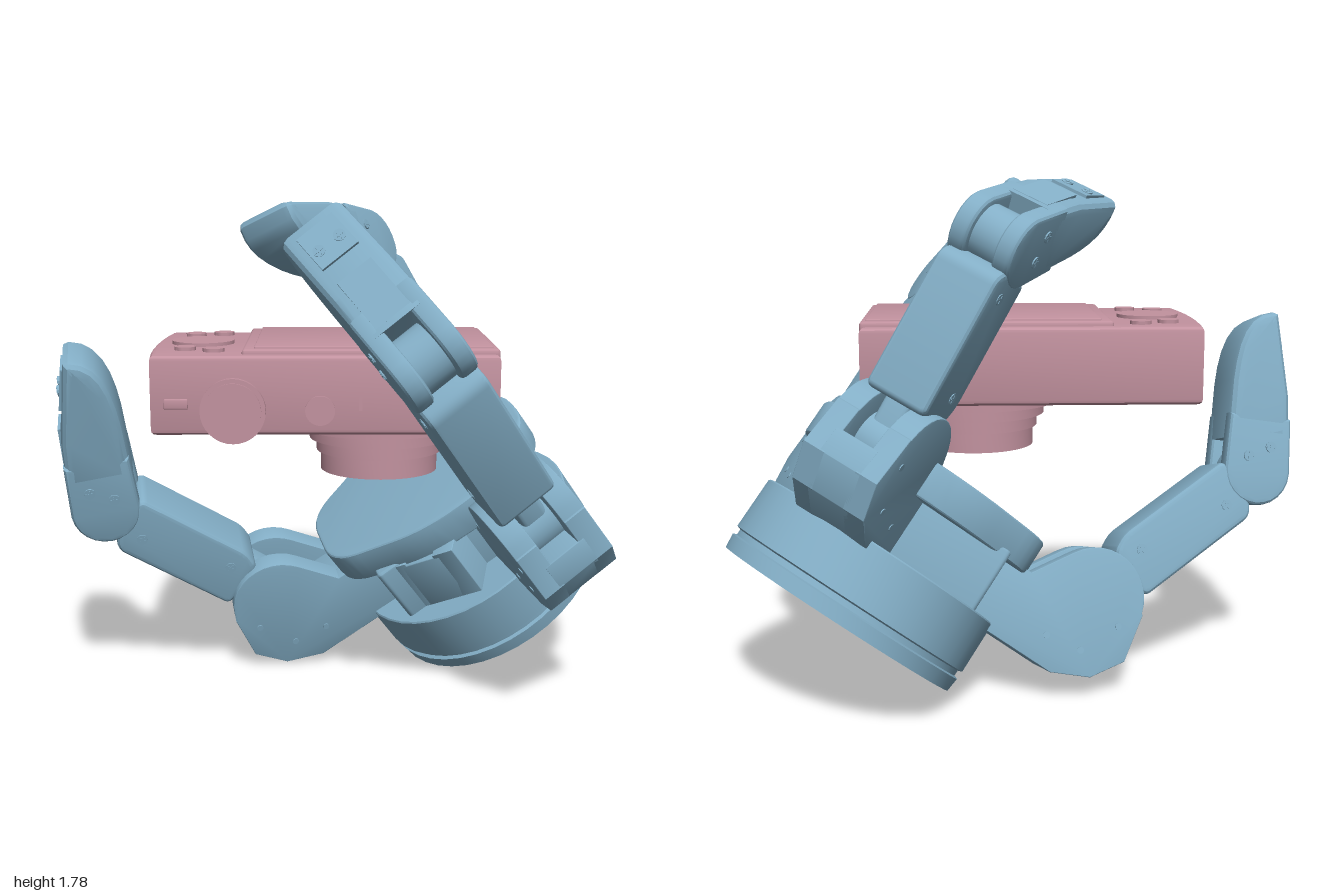
import * as THREE from 'three';
import { toCreasedNormals } from 'three/addons/utils/BufferGeometryUtils.js';
import { RoundedBoxGeometry } from 'three/addons/geometries/RoundedBoxGeometry.js';

const blue = new THREE.MeshStandardMaterial({ color: 0x83aec6 });
const pink = new THREE.MeshStandardMaterial({ color: 0xc2929f });

function add(parent, name, geometry, material, x = 0, y = 0, z = 0) {
  const mesh = new THREE.Mesh(toCreasedNormals(geometry, 0.5), material);
  mesh.name = name;
  mesh.position.set(x, y, z);
  parent.add(mesh);
  return mesh;
}

function group(parent, name) {
  const g = new THREE.Group();
  g.name = name;
  parent.add(g);
  return g;
}

// Outline with each corner rounded by up to r
function rounded(points, r) {
  const p = points.map(([x, y]) => new THREE.Vector2(x, y));
  const s = new THREE.Shape();
  p.forEach((c, i) => {
    const a = p[(i + p.length - 1) % p.length], b = p[(i + 1) % p.length];
    const toward = (q) => c.clone().lerp(q, Math.min(0.48, r / c.distanceTo(q)));
    const u = toward(a), v = toward(b);
    if (i) s.lineTo(u.x, u.y); else s.moveTo(u.x, u.y);
    s.quadraticCurveTo(c.x, c.y, v.x, v.y);
  });
  s.closePath();
  return s;
}

// Bevelled slab of a shape, centred on z
function slab(shape, width, bevel) {
  const depth = width - 2 * bevel;
  const g = new THREE.ExtrudeGeometry(shape, {
    depth, curveSegments: 6, bevelEnabled: true, bevelSegments: 3,
    bevelThickness: bevel, bevelSize: bevel, bevelOffset: -bevel,
  });
  return g.translate(0, 0, -depth / 2);
}

// Small cross-slotted screw head facing +z of its group
function screw(parent, x, y, z, axis) {
  const g = group(parent, 'screw');
  const head = add(g, 'screwHead', new THREE.CylinderGeometry(0.02, 0.02, 0.012, 12), blue);
  head.rotation.x = Math.PI / 2;
  for (const turn of [0, Math.PI / 2]) {
    add(g, 'screwCross', new THREE.BoxGeometry(0.028, 0.006, 0.016), blue).rotation.z = turn;
  }
  g.position.set(x, y, z);
  if (axis === 'y') g.rotation.x = Math.PI / 2;
}

// Pin along z through a joint
function axle(parent, name, radius, width, x, y) {
  const geometry = new THREE.CylinderGeometry(radius, radius, width, 24);
  add(parent, name, geometry, blue, x, y, 0).rotation.x = Math.PI / 2;
}

// Group whose x axis runs from one joint to the next; -y is the outer side
function link(parent, name, from, to) {
  const g = group(parent, name);
  g.position.set(from[0], from[1], 0);
  g.rotation.z = Math.atan2(to[1] - from[1], to[0] - from[0]);
  return [g, Math.hypot(to[0] - from[0], to[1] - from[1])];
}

const knuckle = [0.7, 0.54];

function finger(parent, name, pivot, dir, joint, tip) {
  const f = group(parent, name);
  f.position.set(pivot[0], 0, pivot[1]);
  f.rotation.y = Math.atan2(-dir[1], dir[0]);

  // Housing: solid centre arm between two tall cheeks that leave a slot above
  const floor = [[-0.12, 0.24], [0.7, 0.24], [0.83, 0.3], [0.905, 0.41]];
  const arm = rounded([...floor, [0.89, 0.5], [-0.12, 0.48]], 0.005);
  add(f, 'housingArm', slab(arm, 0.16, 0.002), blue);
  for (const side of [-1, 1]) {
    const cheek = new THREE.Shape();
    cheek.moveTo(...floor[0]);
    [...floor.slice(1), [0.875, 0.58]].forEach((q) => cheek.lineTo(...q));
    cheek.absarc(knuckle[0], knuckle[1], 0.175, 0.25, 2.6, false);
    [[0.46, 0.49], [-0.12, 0.49]].forEach((q) => cheek.lineTo(...q));
    add(f, 'housingCheek', slab(cheek, 0.085, 0.004), blue, 0, 0, side * 0.1);
    for (const [x, y] of [[0.62, 0.34], [0.75, 0.36], [0.82, 0.5]]) {
      add(f, 'housingPin', new THREE.CylinderGeometry(0.012, 0.012, 0.01, 10), blue, x, y, side * 0.141)
        .rotation.x = Math.PI / 2;
    }
  }
  axle(f, 'knuckleAxle', 0.1, 0.14, ...knuckle);

  // Middle link: body with a narrow tongue at the lower end and a round upper joint
  const [mid, midLen] = link(f, 'middleLink', knuckle, joint);
  add(mid, 'lowerTongue', new RoundedBoxGeometry(0.26, 0.15, 0.1, 2, 0.02), blue, 0.1, 0, 0);
  const body = rounded([[0.15, -0.112], [midLen - 0.12, -0.117], [midLen - 0.08, -0.06],
    [midLen - 0.08, 0.105], [0.22, 0.112], [0.15, 0.08]], 0.03);
  add(mid, 'middleBody', slab(body, 0.23, 0.02), blue);
  axle(mid, 'upperJoint', 0.1, 0.12, midLen, 0);
  for (const side of [-1, 1]) {
    screw(mid, 0.24, 0.03, side * 0.112);
    screw(mid, midLen - 0.17, -0.03, side * 0.112);
  }

  // Fingertip: forked round heel, straight back, bulging pad and pointed end
  const [end, len] = link(f, 'fingertip', joint, tip);
  const pad = new THREE.Shape();
  pad.moveTo(0.11, 0.12);
  pad.lineTo(0.11, -0.118);
  pad.lineTo(len * 0.5, -0.1);
  pad.lineTo(len, -0.035);
  pad.lineTo(len + 0.005, -0.015);
  pad.bezierCurveTo(len * 0.98, 0.085, len * 0.8, 0.115, len * 0.55, 0.12);
  pad.closePath();
  add(end, 'fingertipBody', slab(pad, 0.24, 0.035), blue);
  for (const side of [-1, 1]) {
    const heel = new THREE.Shape();
    heel.absarc(0, 0, 0.124, Math.PI / 2, Math.PI * 1.5, false);
    heel.lineTo(0.2, -0.112);
    heel.lineTo(0.2, 0.12);
    heel.closePath();
    add(end, 'heelFork', slab(heel, 0.07, 0.018), blue, 0, 0, side * 0.085);
    screw(end, 0.05, 0.04, side * 0.119);
    screw(end, 0.09, -0.04, side * 0.119);
    screw(end, len * 0.8, -0.07, side * 0.04, 'y');
  }
  const back = add(end, 'backPlate', new THREE.BoxGeometry(len * 0.34, 0.01, 0.13), blue, len * 0.4, -0.105, 0);
  back.rotation.z = 0.06;
  const nail = add(end, 'nail', new THREE.BoxGeometry(len * 0.26, 0.012, 0.14), blue, len * 0.82, -0.061, 0);
  nail.rotation.z = 0.23;
}

function hand(parent) {
  const g = group(parent, 'gripperHand');
  const m = new THREE.Matrix4().makeBasis(
    new THREE.Vector3(0.81, 0.587, -0.043).normalize(),
    new THREE.Vector3(-0.55, 0.78, 0.3).normalize(),
    new THREE.Vector3(0.21, -0.22, 0.953).normalize());
  g.quaternion.setFromRotationMatrix(m);
  g.position.set(0.62, 0.29, -0.35);

  // Round base with a groove near the bottom
  const rim = [[0, 0], [0.452, 0], [0.458, 0.05], [0.445, 0.055], [0.445, 0.075], [0.46, 0.08], [0.46, 0.265], [0.455, 0.27], [0, 0.27]];
  add(g, 'base', new THREE.LatheGeometry(rim.map((q) => new THREE.Vector2(...q)), 40), blue);

  // Palm plate on a smaller block
  const plate = (points, r, height) => slab(rounded(points, r), height, 0.012).rotateX(Math.PI / 2);
  const palm = [[-0.45, -0.2], [-0.12, -0.36], [0.15, -0.36], [0.45, -0.15],
    [0.45, 0.15], [0.19, 0.36], [-0.1, 0.35], [-0.45, 0.17]];
  const block = [[-0.33, -0.28], [0.12, -0.28], [0.36, -0.1], [0.36, 0.1], [0.12, 0.28], [-0.33, 0.28]];
  add(g, 'palmPlate', plate(palm, 0.12, 0.13), blue, 0, 0.535, 0);
  add(g, 'palmBlock', plate(block, 0.02, 0.26), blue, 0, 0.37, 0);

  finger(g, 'fixedFinger', [0, 0], [-0.998, -0.06], [0.967, 1.25], [0.7, 1.77]);
  finger(g, 'frontFinger', [0.175, -0.079], [0.1, 0.995], [0.8, 1.33], [0.42, 1.755]);
  finger(g, 'backFinger', [-0.11, 0.226], [0.5, -0.866], [0.85, 1.28], [0.42, 1.705]);
}

function camera(parent) {
  const g = group(parent, 'compactCamera');

  // Body with a slightly bowed grip end
  const outline = new THREE.Shape();
  outline.moveTo(0.53, -0.29);
  outline.lineTo(0.53, 0.38);
  outline.lineTo(-0.635, 0.38);
  outline.quadraticCurveTo(-0.675, 0.045, -0.635, -0.29);
  outline.closePath();
  add(g, 'cameraBody', slab(outline, 0.27, 0.02).rotateX(Math.PI / 2), pink, 0, 1.15, 0);

  // Screen and its frame
  add(g, 'screenFrame', new RoundedBoxGeometry(0.86, 0.05, 0.63, 2, 0.01), pink, 0.1, 1.277, 0.045);
  add(g, 'screen', new RoundedBoxGeometry(0.8, 0.03, 0.57, 2, 0.004), pink, 0.11, 1.294, 0.045);

  // Buttons beside the screen
  const buttons = [[-0.485, 0.045, 0.11], [-0.53, -0.16, 0.037], [-0.43, -0.195, 0.037], [-0.53, 0.23, 0.037], [-0.43, 0.27, 0.037]];
  for (const [x, z, r] of buttons) {
    add(g, 'button', new THREE.CylinderGeometry(r, r, 0.03, 28), pink, x, 1.282, z);
  }

  // Controls on the narrow side
  for (const [name, x, r, z] of [['modeDial', -0.36, 0.11, 0.385], ['modeDialCap', -0.36, 0.095, 0.392], ['shutterButton', -0.07, 0.05, 0.375]]) {
    add(g, name, new THREE.CylinderGeometry(r, r, 0.03, 32), pink, x, 1.1, z).rotation.x = Math.PI / 2;
  }
  add(g, 'powerSwitch', new RoundedBoxGeometry(0.08, 0.035, 0.012, 2, 0.004), pink, -0.55, 1.122, 0.38);
  add(g, 'indicator', new THREE.BoxGeometry(0.012, 0.045, 0.008), pink, 0.065, 1.122, 0.38);

  // Stepped lens barrel pointing down
  const barrel = [[0, 0.825], [0.17, 0.825], [0.18, 0.83], [0.21, 0.83], [0.21, 0.9], [0.225, 0.9], [0.225, 0.945],
    [0.25, 0.945], [0.25, 0.985], [0.3, 0.99], [0.3, 1.03]];
  add(g, 'lensBarrel', new THREE.LatheGeometry(barrel.map((q) => new THREE.Vector2(...q)), 40), pink, 0.14, 0, 0.03);
}

export function createModel() {
  const model = new THREE.Group();
  model.name = 'gripperHoldingCamera';
  hand(model);
  camera(model);
  return model;
}
